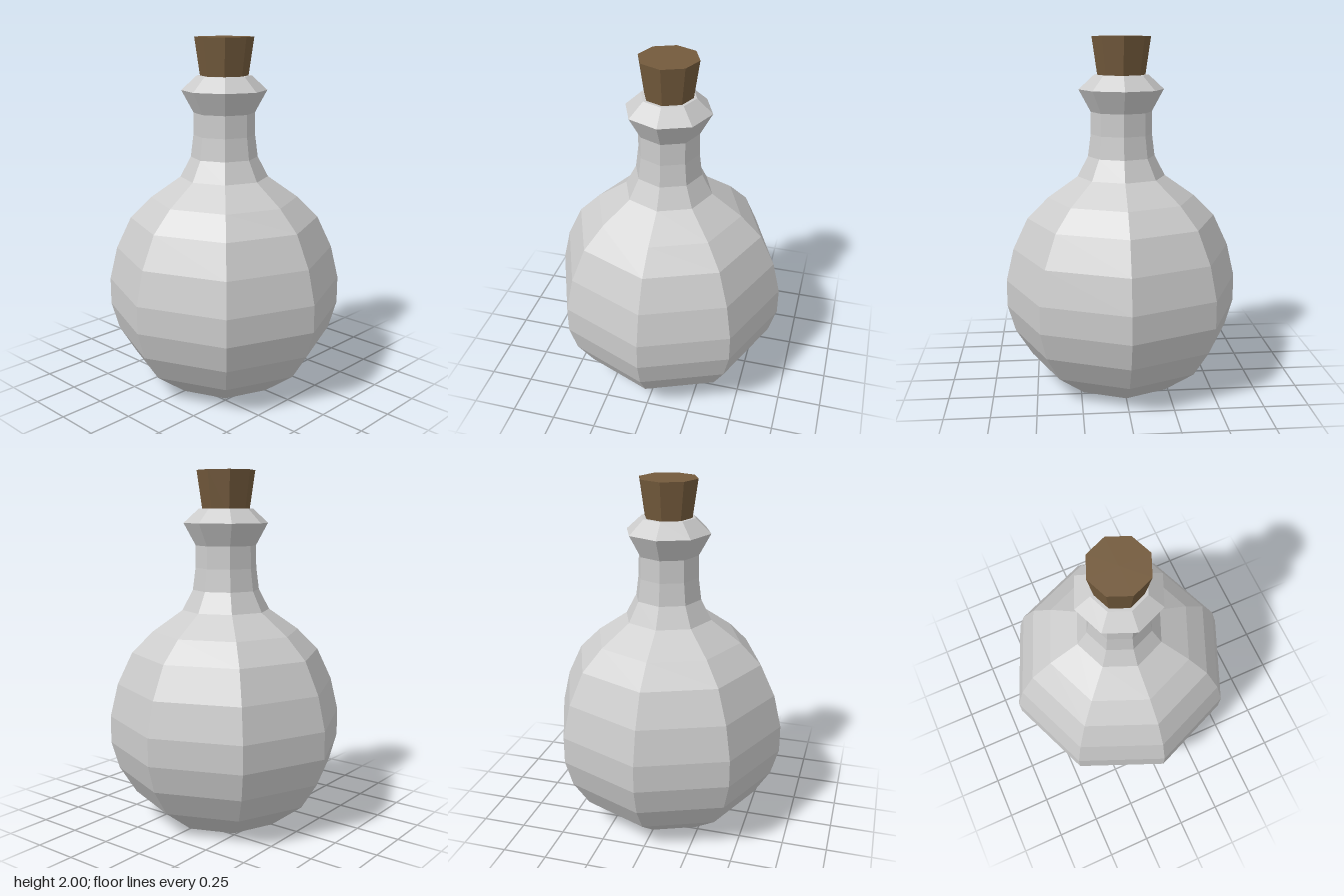
import * as THREE from 'three';

const SIDES = 8;

// Faceted solid of revolution from [radius, height] pairs, listed bottom to top
function turned(name, profile, color) {
  const points = profile.map(([r, y]) => new THREE.Vector2(r, y));
  const material = new THREE.MeshStandardMaterial({ color, flatShading: true });
  const mesh = new THREE.Mesh(new THREE.LatheGeometry(points, SIDES), material);
  mesh.name = name;
  return mesh;
}

export function createModel() {
  const model = new THREE.Group();
  model.name = 'corkedFlask';

  // Flask: flat base, round belly, narrow neck and flared lip
  model.add(turned('flask', [
    [0, 0], [0.333, 0],
    [0.53, 0.15], [0.625, 0.3], [0.67, 0.455], [0.67, 0.61], [0.625, 0.8], [0.54, 0.98],
    [0.42, 1.1], [0.25, 1.22],
    [0.19, 1.335], [0.174, 1.46], [0.172, 1.585],
    [0.24, 1.71], [0.153, 1.79], [0, 1.79],
  ], 0xcccccc));

  // Cork: tapered plug seated in the mouth
  model.add(turned('cork', [
    [0, 1.75], [0.129, 1.75], [0.165, 2], [0, 2],
  ], 0x735a3c));

  return model;
}
